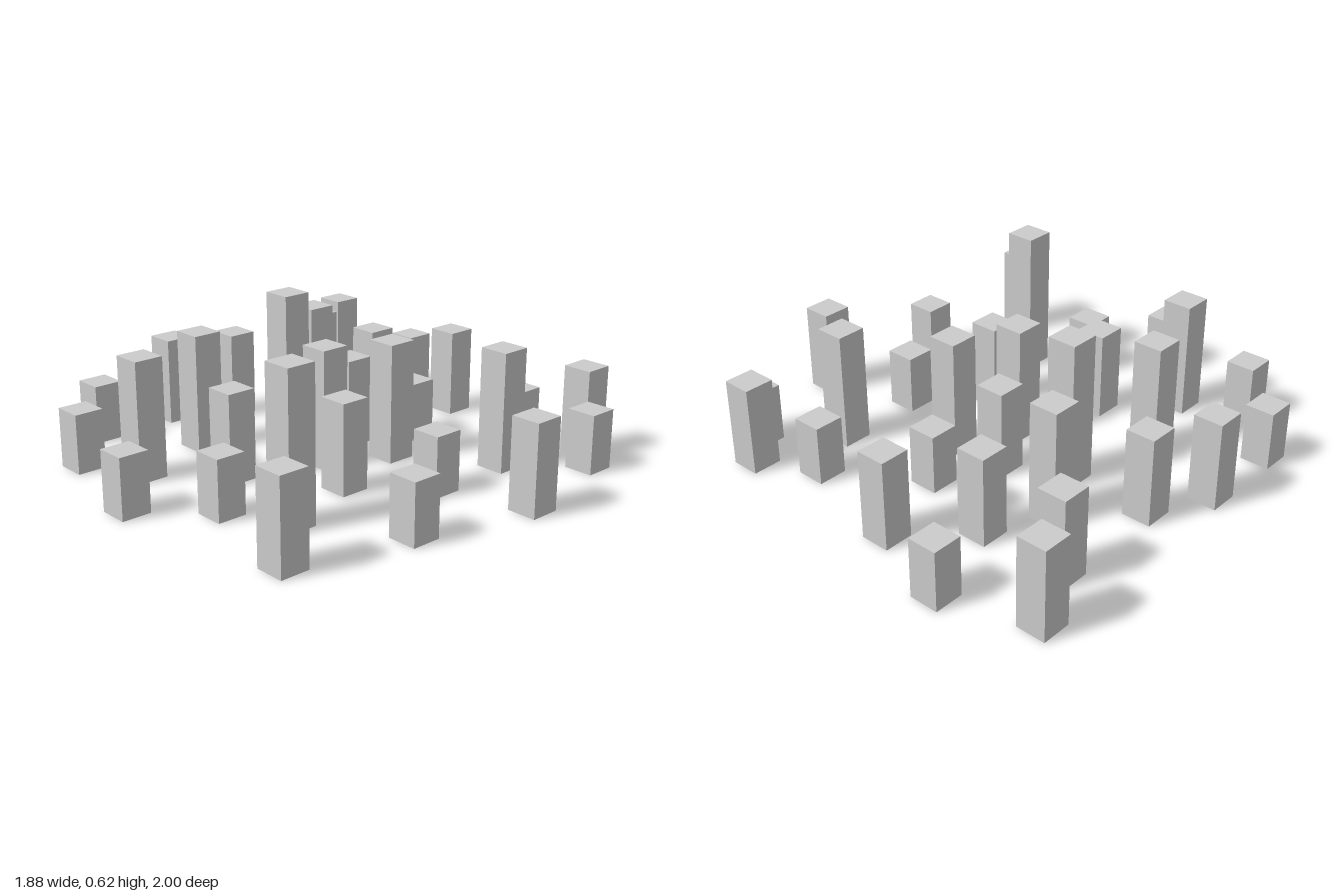
import * as THREE from 'three';

// Plan of the pillar field: rows run back to front, columns run -x to +x.
// Each digit is a pillar's height in cells.
const PLAN = [
  '...2...........',
  '3.....3.....3..',
  '..........2..2.',
  '.3..3..........',
  '.....1.2...4...',
  '...4...........',
  '......3.4.....3',
  '.3..5......2...',
  '.......4.......',
  '3........3.....',
  '...4.........2.',
  '......3........',
  '2.........5....',
  '....4...2......',
  '..2.........3..',
  '......2........',
];
const CELL = 0.125;

export function createModel() {
  const model = new THREE.Group();
  model.name = 'pillarField';
  const material = new THREE.MeshStandardMaterial({ color: 0xcccccc, flatShading: true });

  // One square pillar standing on the ground per marked cell
  PLAN.forEach((row, j) => {
    [...row].forEach((mark, i) => {
      if (mark === '.') return;
      const height = Number(mark) * CELL;
      const pillar = new THREE.Mesh(new THREE.BoxGeometry(CELL, height, CELL), material);
      pillar.name = 'pillar';
      pillar.position.set(
        (i - (row.length - 1) / 2) * CELL,
        height / 2,
        (j - (PLAN.length - 1) / 2) * CELL,
      );
      model.add(pillar);
    });
  });
  return model;
}
